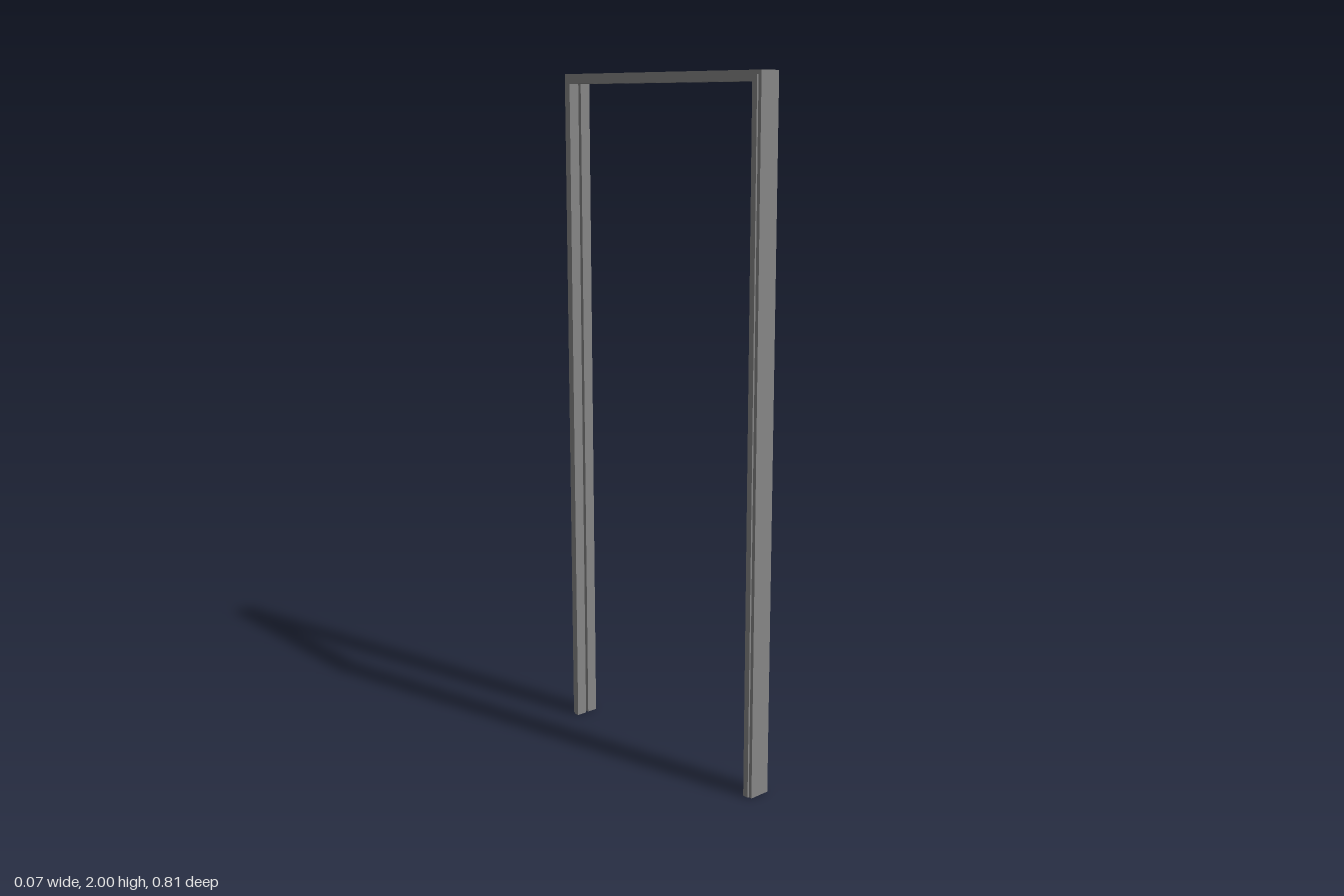
import * as THREE from 'three';

const HALF = 0.403;   // half width of the frame
const HEIGHT = 2;

// Upside-down U between two insets from the outer outline, spanning x0..x1
function portal(name, outerInset, innerInset, x0, x1, material) {
  const o = HALF - outerInset, i = HALF - innerInset;
  const shape = new THREE.Shape([
    [-o, 0], [-i, 0], [-i, HEIGHT - innerInset], [i, HEIGHT - innerInset],
    [i, 0], [o, 0], [o, HEIGHT - outerInset], [-o, HEIGHT - outerInset],
  ].map(([a, b]) => new THREE.Vector2(a, b)));
  const geometry = new THREE.ExtrudeGeometry(shape, { depth: x1 - x0, bevelEnabled: false });
  geometry.rotateY(Math.PI / 2);
  geometry.translate(x0, 0, 0);
  const mesh = new THREE.Mesh(geometry, material);
  mesh.name = name;
  return mesh;
}

export function createModel() {
  const group = new THREE.Group();
  group.name = 'doorFrame';
  const material = new THREE.MeshStandardMaterial({ color: 0x878787, flatShading: true });

  // Outer lining: two posts and the header
  group.add(portal('outerLining', 0, 0.016, -0.032, 0.032, material));

  // Wider inner lips, leaving a narrow groove along the middle
  group.add(portal('leftInnerLip', 0.0105, 0.028, 0.0045, 0.037, material));
  group.add(portal('rightInnerLip', 0.0105, 0.028, -0.037, -0.0045, material));
  return group;
}
